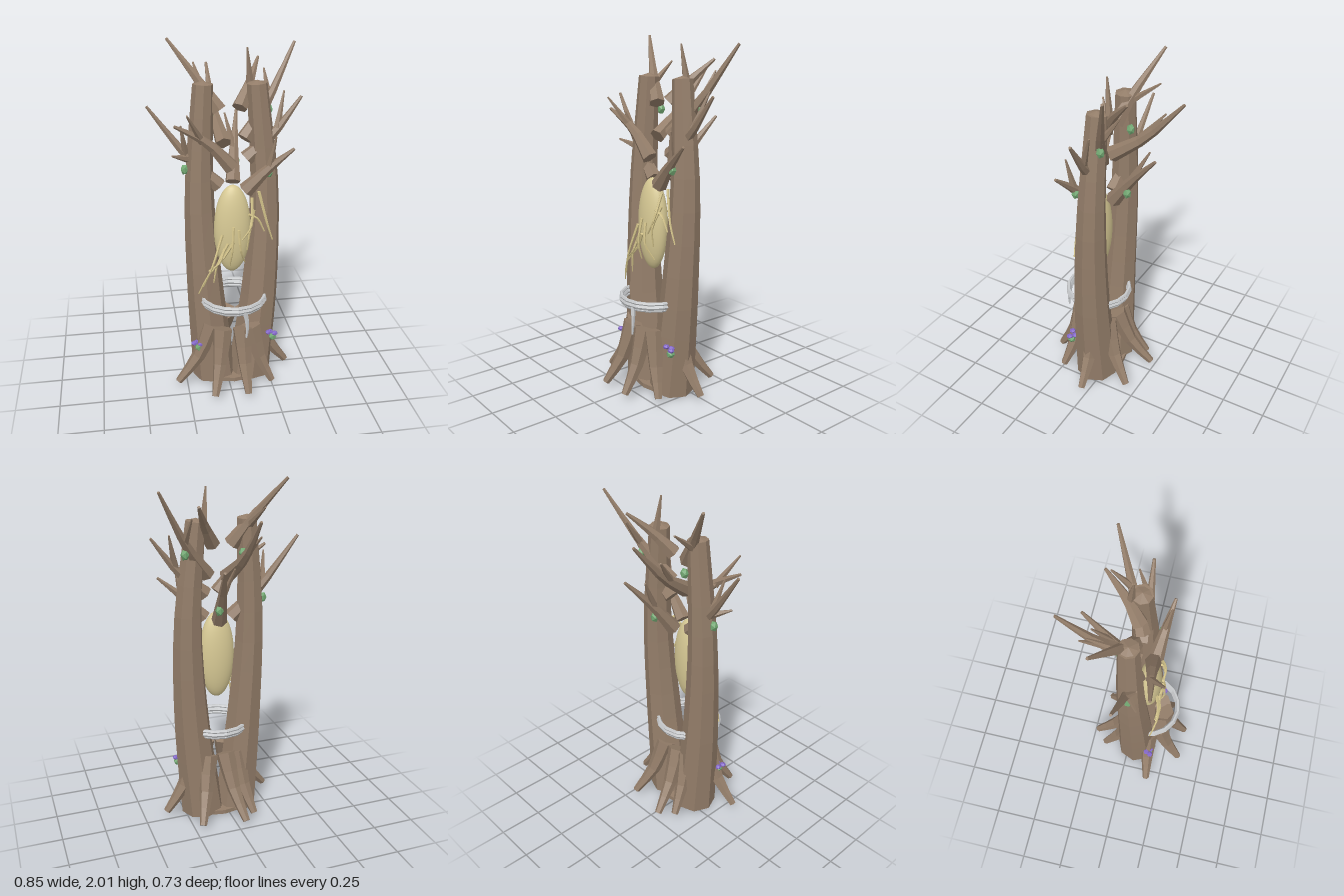
import * as THREE from 'three';

const mat = (name, color, extra = {}) => {
  const m = new THREE.MeshStandardMaterial({ color, flatShading: true, ...extra });
  m.name = name;
  return m;
};

const UP = new THREE.Vector3(0, 1, 0);

// Tapered, capped limb that follows a smooth curve through a few points
function limb(points, r0, r1, sides, steps = 6) {
  const curve = new THREE.CatmullRomCurve3(points.map((p) => new THREE.Vector3(...p)));
  const geo = new THREE.CylinderGeometry(1, 1, 1, sides, steps);
  const pos = geo.attributes.position;
  const v = new THREE.Vector3();
  const q = new THREE.Quaternion();
  for (let i = 0; i < pos.count; i++) {
    const t = THREE.MathUtils.clamp(pos.getY(i) + 0.5, 0, 1);
    const r = THREE.MathUtils.lerp(r0, r1, t);
    q.setFromUnitVectors(UP, curve.getTangent(t));
    v.set(pos.getX(i) * r, 0, pos.getZ(i) * r).applyQuaternion(q).add(curve.getPoint(t));
    pos.setXYZ(i, v.x, v.y, v.z);
  }
  geo.computeVertexNormals();
  return geo;
}

export function createModel() {
  const model = new THREE.Group();
  const bark = mat('bark', 0x937d69);
  const shell = mat('pod shell', 0xd8ca95, { flatShading: false });
  const vine = mat('vine', 0xd4c48b);
  const metal = mat('metal', 0xc6c8ca);
  const leaf = mat('leaf', 0x72a872);
  const petal = mat('petal', 0x8468c9);

  const add = (name, geo, material, parent = model) => {
    const mesh = new THREE.Mesh(geo, material);
    mesh.name = name;
    parent.add(mesh);
    return mesh;
  };
  const group = (name) => {
    const g = new THREE.Group();
    g.name = name;
    model.add(g);
    return g;
  };

  // Two bowed trunks with slightly domed tops
  [
    ['rightTrunk', [[-0.075, 0.012, 0.053], [-0.125, 0.6, 0.047], [-0.15, 1.2, 0.027], [-0.121, 1.783, 0.01]]],
    ['leftTrunk', [[0.138, 0.012, 0.053], [0.198, 0.6, 0.047], [0.218, 1.2, 0.027], [0.17, 1.778, 0.01]]],
  ].forEach(([name, path]) => {
    add(name, limb(path, 0.129, 0.056, 8, 10), bark);
    const [x, y, z] = path[3];
    add('trunkCrown', new THREE.ConeGeometry(0.055, 0.018, 8), bark).position.set(x, y + 0.008, z);
  });

  // Low base joining both trunks
  const base = add('base', new THREE.CylinderGeometry(1, 1, 0.025, 10), bark);
  base.scale.set(0.215, 1, 0.125);
  base.position.set(0.032, 0.0165, 0.055);

  // Branches: cut inner end, bend, pointed tip
  const branches = group('branches');
  [
    [[0.015, 1.35, 0.11], [-0.11, 1.49, 0.125], [-0.29, 1.6, 0.155]],
    [[-0.015, 1.46, 0.035], [-0.045, 1.6, -0.16], [-0.055, 1.82, -0.36]],
    [[-0.035, 1.64, 0.02], [-0.13, 1.78, -0.03], [-0.295, 2.0, -0.13]],
    [[0.075, 1.65, 0.02], [0.14, 1.76, -0.06], [0.21, 1.88, -0.18]],
    [[0.1, 1.48, 0.03], [0.24, 1.66, -0.05], [0.41, 1.96, -0.165]],
    [[0.11, 1.37, 0.04], [0.26, 1.5, 0.03], [0.415, 1.7, 0.015]],
    [[0.095, 1.21, 0.11], [0.21, 1.33, 0.13], [0.35, 1.45, 0.155]],
    [[-0.04, 1.22, 0.04], [-0.21, 1.39, 0.02], [-0.42, 1.67, -0.005]],
    [[0.045, 1.22, -0.01], [0.07, 1.38, -0.13], [0.11, 1.56, -0.29]],
  ].forEach((p) => add('branch', limb(p, 0.045, 0.008, 6, 5), bark, branches));

  // Side twigs
  [
    [[-0.14, 1.5, 0.12], [-0.23, 1.67, 0.215]],
    [[-0.05, 1.58, -0.12], [-0.11, 1.72, -0.235]],
    [[-0.12, 1.74, -0.02], [-0.15, 1.86, -0.18]],
    [[0.14, 1.77, -0.04], [0.12, 1.96, -0.02]],
    [[0.25, 1.68, -0.06], [0.24, 1.82, -0.16]],
    [[0.28, 1.53, 0.03], [0.33, 1.72, -0.04]],
    [[0.22, 1.34, 0.13], [0.25, 1.52, 0.155]],
    [[-0.22, 1.4, 0.02], [-0.25, 1.58, 0.08]],
    [[-0.21, 1.38, 0.03], [-0.3, 1.42, 0.09]],
    [[0.07, 1.37, -0.12], [0.03, 1.56, -0.22]],
  ].forEach(([a, b]) => add('twig', limb([a, b], 0.022, 0.005, 5, 1), bark, branches));

  // Flaring roots around the base: [end x, end z, start x, start z]
  const roots = group('roots');
  [
    [-0.11, 0.345, -0.045, 0.19], [0.085, 0.35, 0.07, 0.2], [0.245, 0.235, 0.125, 0.17],
    [-0.305, 0.165, -0.1, 0.13], [0.37, 0.03, 0.18, 0.05], [0.21, -0.19, 0.12, -0.01],
    [-0.045, -0.23, 0.01, -0.01], [-0.12, -0.16, -0.06, 0.0],
  ].forEach(([ex, ez, sx, sz]) => {
    const mid = (a, b) => a + (b - a) * 0.4;
    add('root', limb([[ex, 0.035, ez], [mid(sx, ex), 0.19, mid(sz, ez)], [sx, 0.39, sz]],
      0.021, 0.06, 6, 4), bark, roots);
  });

  // Flattened pod held between the trunks
  const pod = add('pod', new THREE.SphereGeometry(1, 28, 20), shell);
  pod.scale.set(0.104, 0.262, 0.068);
  pod.position.set(0.025, 0.98, 0.098);

  // Thin vines gripping the pod and trunks
  const vines = group('vines');
  [
    [[-0.175, 0.61, 0.15], [-0.12, 0.74, 0.175], [-0.03, 0.84, 0.165], [0.02, 0.93, 0.172]],
    [[-0.15, 0.66, 0.16], [-0.1, 0.79, 0.18], [-0.04, 0.97, 0.155]],
    [[-0.09, 0.68, 0.16], [-0.07, 0.8, 0.17], [-0.01, 0.92, 0.168]],
    [[-0.12, 0.76, 0.17], [-0.06, 0.81, 0.18], [-0.03, 0.89, 0.165]],
    [[0.0, 0.78, 0.16], [0.01, 0.88, 0.19], [0.02, 1.02, 0.172]],
    [[0.09, 0.79, 0.14], [0.06, 0.88, 0.182], [0.05, 1.0, 0.17]],
    [[0.1, 0.87, 0.155], [0.11, 0.98, 0.17], [0.14, 1.1, 0.13]],
    [[0.07, 0.94, 0.17], [0.12, 1.02, 0.17], [0.13, 1.17, 0.12]],
    [[0.25, 0.91, 0.125], [0.215, 1.02, 0.13], [0.17, 1.2, 0.11]],
    [[0.2, 0.97, 0.135], [0.16, 1.05, 0.14], [0.11, 1.08, 0.145]],
  ].forEach((p) => add('vine', limb(p, 0.004, 0.009, 5, 6), vine, vines));

  // Fine rootlets spread under the base
  for (let i = 0; i < 7; i++) {
    const a = (i / 7) * Math.PI * 2;
    const c = Math.cos(a), s = Math.sin(a);
    add('rootlet', limb([[0.03 + c * 0.1, 0.006, 0.06 + s * 0.08],
      [0.03 + c * 0.05 - s * 0.012, 0.005, 0.06 + s * 0.04 + c * 0.012], [0.03, 0.008, 0.06]],
    0.003, 0.005, 5, 4), vine, vines);
  }

  // Metal hoop made of three stacked bands, with a hanging spike
  const hoop = group('hoop');
  [[0.528, 0.179, 0.01], [0.547, 0.183, 0.016], [0.567, 0.185, 0.011]].forEach(([y, r, tube]) => {
    const band = add('hoopBand', new THREE.TorusGeometry(r, tube, 6, 16), metal, hoop);
    band.rotation.x = Math.PI / 2;
    band.position.set(0.03, y, 0.1);
  });
  add('hoopSpike', limb([[0.078, 0.38, 0.288], [0.083, 0.46, 0.286], [0.07, 0.54, 0.276]], 0.006, 0.015, 5, 3), metal, hoop);

  // Leaf tufts and flower clusters
  const growth = group('growth');
  const blob = (name, material, x, y, z, r, sy = 1) => {
    const b = add(name, new THREE.IcosahedronGeometry(r, 0), material, growth);
    b.position.set(x, y, z);
    b.scale.y = sy;
  };
  [[0.22, 1.31, 0.12], [-0.228, 1.32, 0.03], [0.08, 1.31, -0.115], [0.25, 1.615, -0.055], [-0.08, 1.6, -0.045]]
    .forEach(([x, y, z]) => blob('leafTuft', leaf, x, y, z, 0.024, 1.3));
  [[-0.19, 0.265, 0.155], [0.25, 0.3, 0.16]].forEach(([x, y, z]) => {
    blob('flowerLeaf', leaf, x + 0.01, y - 0.01, z, 0.025);
    for (let i = 0; i < 3; i++) {
      const a = (i / 3) * Math.PI * 2 + 0.4;
      blob('flower', petal, x + Math.cos(a) * 0.022, y + 0.014 + (i % 2) * 0.012, z + Math.sin(a) * 0.016, 0.02, 0.7);
    }
  });

  return model;
}
